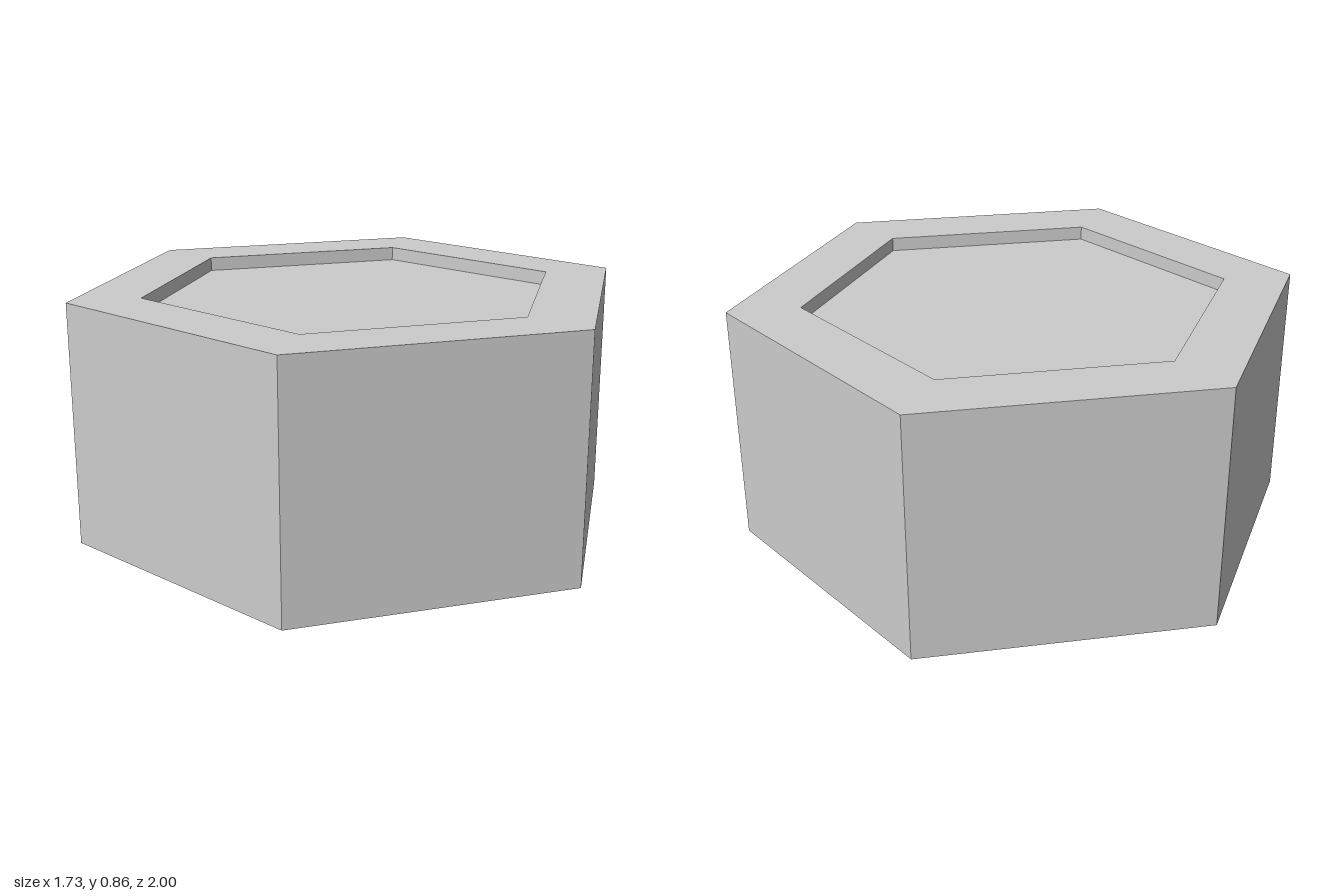
import * as THREE from 'three';

const TOP = 0.86;      // overall height
const FLOOR = 0.81;    // height of the recessed top face
const OUTER = 1;       // hexagon corner radius
const INNER = 0.75;    // corner radius of the recess

// Six corners, with two of them pointing along z
function hexagon(radius) {
  return Array.from({ length: 6 }, (_, i) => {
    const a = Math.PI / 2 + (i * Math.PI) / 3;
    return new THREE.Vector2(Math.cos(a) * radius, Math.sin(a) * radius);
  });
}

// Extrudes a flat outline upwards from y = bottom to y = top
function prism(shape, bottom, top) {
  return new THREE.ExtrudeGeometry(shape, { depth: top - bottom, bevelEnabled: false })
    .rotateX(-Math.PI / 2)
    .translate(0, bottom, 0);
}

export function createModel() {
  const group = new THREE.Group();
  group.name = 'hexagonalTile';

  const stone = new THREE.MeshStandardMaterial({ color: 0xcccccc });
  stone.name = 'light grey';

  // Solid base, its top is the floor of the recess
  const body = new THREE.Mesh(prism(new THREE.Shape(hexagon(OUTER)), 0, FLOOR), stone);
  body.name = 'body';

  // Raised border around the recess
  const ring = new THREE.Shape(hexagon(OUTER));
  ring.holes.push(new THREE.Path(hexagon(INNER)));
  const rim = new THREE.Mesh(prism(ring, FLOOR, TOP), stone);
  rim.name = 'rim';

  group.add(body, rim);
  return group;
}
